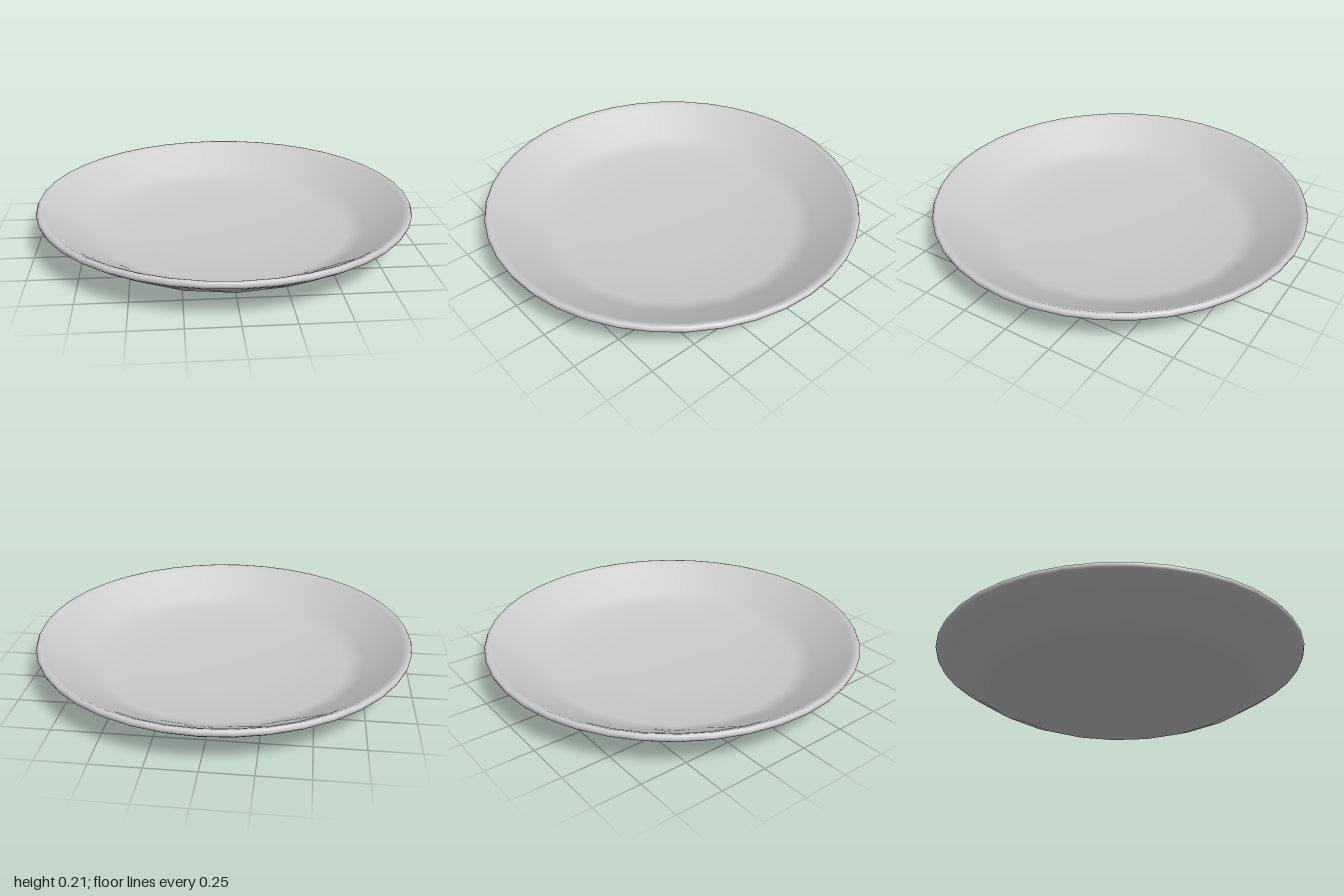
import * as THREE from 'three';
import { mergeVertices } from 'three/addons/utils/BufferGeometryUtils.js';

const SIDES = 40;

// Profile from the underside centre, out and over the rim, to the floor centre
const PROFILE = [
  [0, 0], [0.35, 0], [0.67, 0], [0.79, 0.05],
  [0.975, 0.168], [0.995, 0.183], [1, 0.197], [0.993, 0.21],
  [0.978, 0.212], [0.955, 0.2],
  [0.77, 0.083], [0.67, 0.042], [0.35, 0.036], [0, 0.035],
];

function dishGeometry() {
  const points = PROFILE.map(([r, y]) => new THREE.Vector2(r, y));
  const lathe = new THREE.LatheGeometry(points, SIDES);
  const pos = lathe.attributes.position;

  // The rim has 40 sides; base and floor have 20, so pull every other vertex onto its chord
  const chord = Math.cos((2 * Math.PI) / SIDES);
  for (let i = 0; i < pos.count; i++) {
    const column = Math.floor(i / points.length);
    const radius = points[i % points.length].x;
    if (column % 2 === 1 && radius < 0.9) {
      pos.setX(i, pos.getX(i) * chord);
      pos.setZ(i, pos.getZ(i) * chord);
    }
  }

  // Weld the seam and centres so the shading is smooth all around
  lathe.deleteAttribute('uv');
  lathe.deleteAttribute('normal');
  const geometry = mergeVertices(lathe, 1e-4);
  geometry.computeVertexNormals();
  return geometry;
}

export function createModel() {
  const group = new THREE.Group();
  group.name = 'plate';
  const material = new THREE.MeshStandardMaterial({ color: 0xcccccc });
  const dish = new THREE.Mesh(dishGeometry(), material);
  dish.name = 'dish';
  group.add(dish);
  return group;
}
